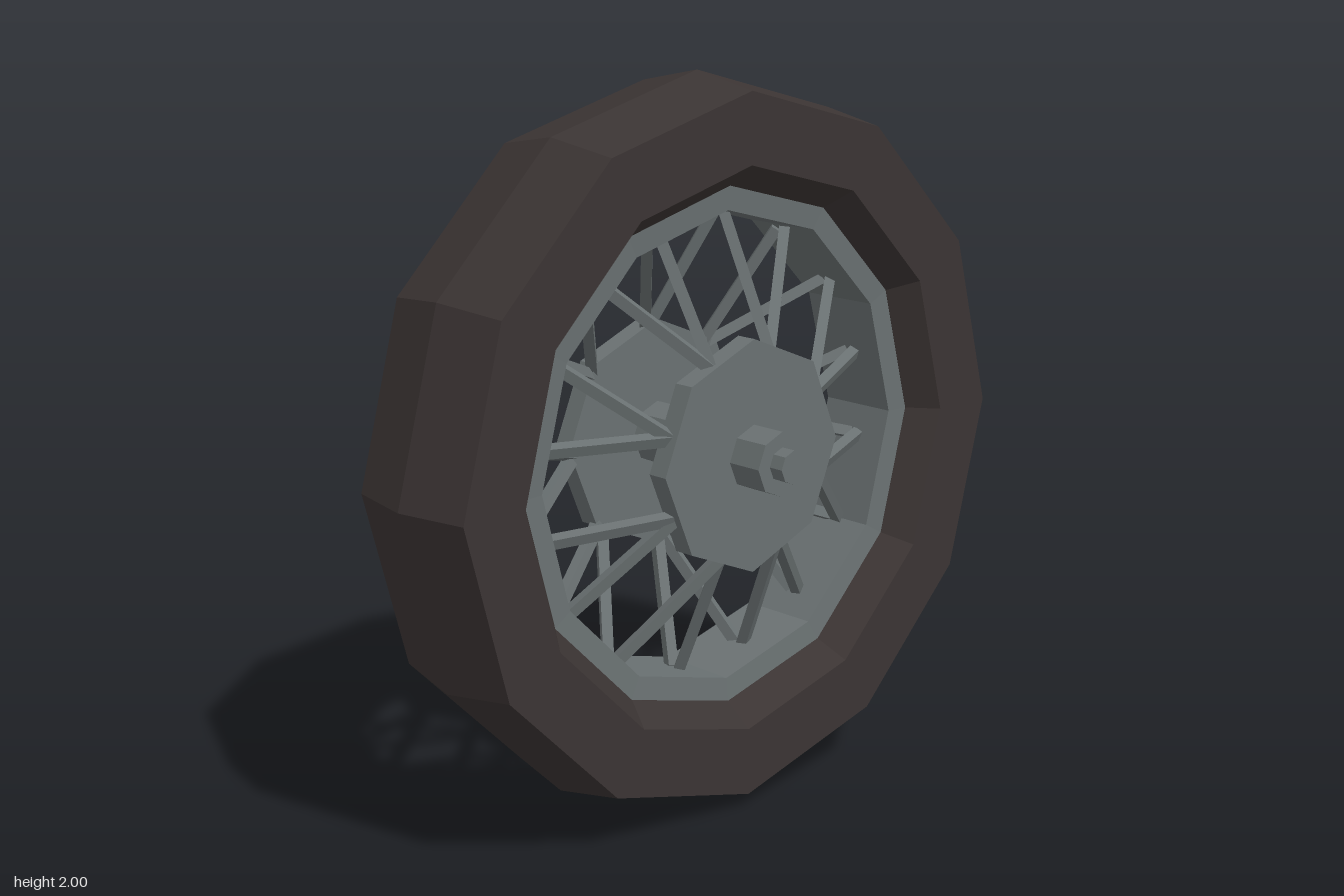
import * as THREE from 'three';

const rubber = new THREE.MeshStandardMaterial({ color: 0x3b3433 });
rubber.name = 'dark rubber';
const metal = new THREE.MeshStandardMaterial({ color: 0x6a7172 });
metal.name = 'grey metal';

// Faceted normals for the low-poly look
function faceted(geometry) {
  const flat = geometry.toNonIndexed();
  flat.computeVertexNormals();
  return flat;
}

// Turned part around the x axis; profile pairs are [radius, x]
function turned(name, profile, sides, material) {
  const points = profile.map(([r, x]) => new THREE.Vector2(r, x));
  const geometry = new THREE.LatheGeometry(points, sides);
  geometry.rotateZ(-Math.PI / 2);
  const mesh = new THREE.Mesh(faceted(geometry), material);
  mesh.name = name;
  return mesh;
}

// Point on the wheel, angle in degrees clockwise from the top seen from +x
function wheelPoint(x, radius, degrees) {
  const a = THREE.MathUtils.degToRad(degrees);
  return new THREE.Vector3(x, radius * Math.cos(a), -radius * Math.sin(a));
}

function spoke(from, to) {
  const direction = to.clone().sub(from);
  const geometry = faceted(new THREE.CylinderGeometry(0.021, 0.021, direction.length(), 4));
  const mesh = new THREE.Mesh(geometry, metal);
  mesh.position.copy(from).add(to).multiplyScalar(0.5);
  mesh.quaternion.setFromUnitVectors(new THREE.Vector3(0, 1, 0), direction.normalize());
  mesh.name = 'spoke';
  return mesh;
}

export function createModel() {
  const model = new THREE.Group();
  model.name = 'spokedWheel';
  const wheel = new THREE.Group();
  wheel.name = 'wheel';
  wheel.position.y = 1;
  model.add(wheel);

  // Tyre with crowned tread and deep bevelled bead
  wheel.add(turned('tyre', [
    [0.71, -0.125], [0.77, -0.205], [0.96, -0.205], [1, 0],
    [0.96, 0.205], [0.77, 0.205], [0.71, 0.125], [0.71, -0.125],
  ], 12, rubber));

  // Rim ring, set in behind the bead
  wheel.add(turned('rim', [
    [0.645, -0.118], [0.72, -0.125], [0.72, 0.125], [0.645, 0.118], [0.645, -0.118],
  ], 12, metal));

  // Axle through the hub, stepped down at both tips
  wheel.add(turned('axle', [
    [0, -0.365], [0.046, -0.365], [0.046, -0.322], [0.088, -0.322],
    [0.088, 0.322], [0.046, 0.322], [0.046, 0.365], [0, 0.365],
  ], 8, metal));

  // Hub flanges
  for (const side of [-1, 1]) {
    const flange = turned('hubFlange', [
      [0, -0.03], [0.318, -0.03], [0.318, 0.03], [0, 0.03],
    ], 8, metal);
    flange.position.x = side * 0.187;
    wheel.add(flange);
  }

  // Eight pairs of spokes fan out from each flange, staggered between the sides
  const spokes = new THREE.Group();
  spokes.name = 'spokes';
  for (let i = 0; i < 16; i++) {
    const hubAngle = 18.75 + i * 22.5;
    const side = i % 2 === 0 ? 1 : -1;
    for (const lean of [-11.25, 11.25]) {
      spokes.add(spoke(
        wheelPoint(side * 0.185, 0.28, hubAngle),
        wheelPoint(side * 0.015, 0.632, hubAngle + lean),
      ));
    }
  }
  wheel.add(spokes);
  return model;
}
